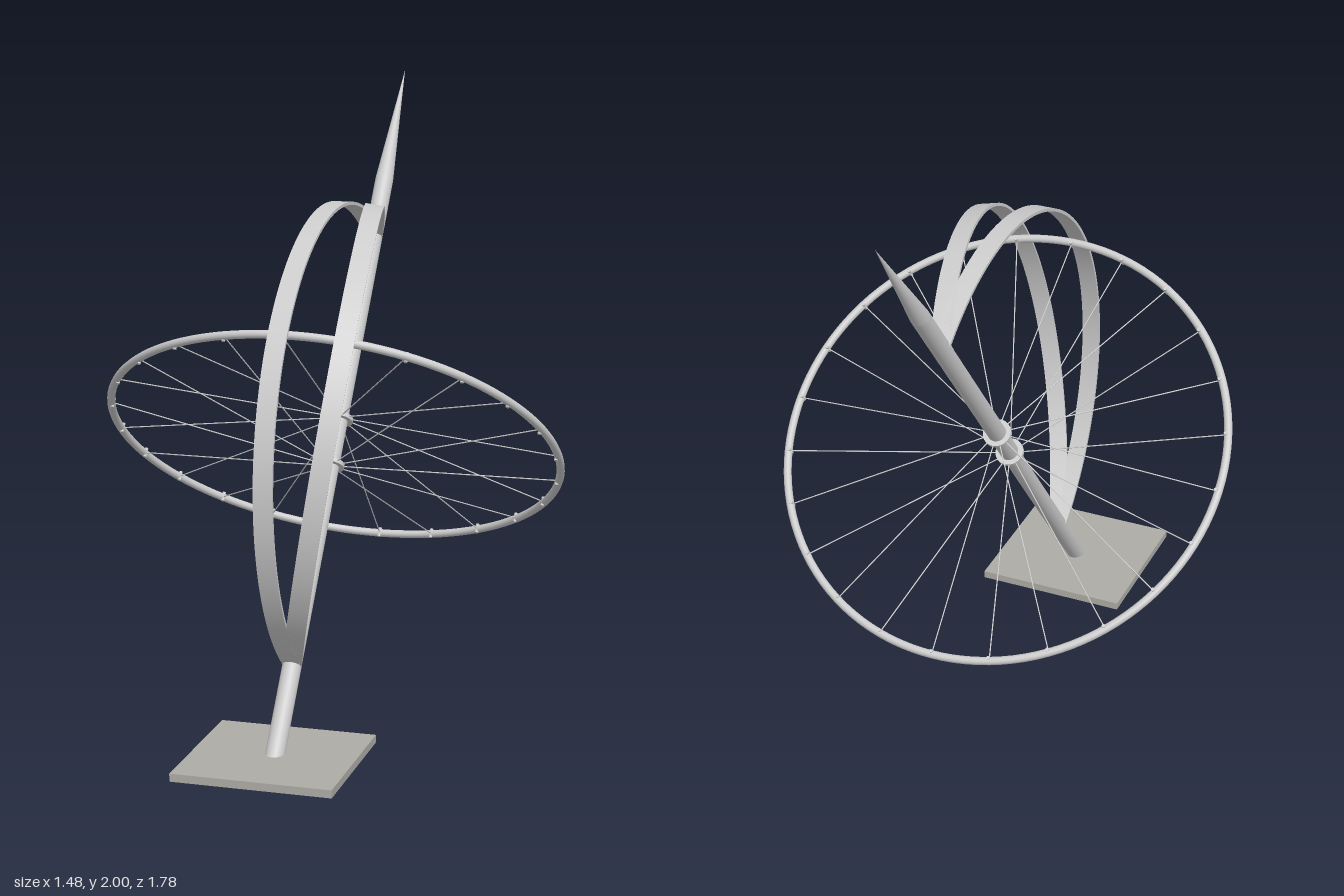
import * as THREE from 'three';
import { toCreasedNormals } from 'three/addons/utils/BufferGeometryUtils.js';

export function createModel() {
  const model = new THREE.Group();
  const grey = new THREE.MeshStandardMaterial({ color: 0xcccccc });
  const stone = new THREE.MeshStandardMaterial({ color: 0xaeaca6 });

  const add = (parent, name, geometry, material = grey) => {
    const mesh = new THREE.Mesh(geometry, material);
    mesh.name = name;
    parent.add(mesh);
    return mesh;
  };

  // Rod between two points
  const rod = (parent, name, a, b, radius, sides) => {
    const dir = b.clone().sub(a);
    const mesh = add(parent, name, new THREE.CylinderGeometry(radius, radius, dir.length(), sides));
    mesh.position.copy(a).add(b).multiplyScalar(0.5);
    mesh.quaternion.setFromUnitVectors(new THREE.Vector3(0, 1, 0), dir.normalize());
  };

  // Level base plate
  add(model, 'basePlate', new THREE.BoxGeometry(0.5, 0.025, 0.495), stone).position.set(0, 0.057, 0.645);

  // Everything else leans back around the wheel centre; local y is the pole axis
  const dial = new THREE.Group();
  dial.name = 'dial';
  dial.position.set(0, 0.891, -0.012);
  dial.rotation.x = -THREE.MathUtils.degToRad(38.4);
  model.add(dial);

  // Pole and its pointed tip
  const bottom = -1.113, shoulder = 0.976, tip = 1.415;
  add(dial, 'pole', new THREE.CylinderGeometry(0.03, 0.03, shoulder - bottom, 32))
    .position.y = (shoulder + bottom) / 2;
  add(dial, 'poleTip', new THREE.ConeGeometry(0.03, tip - shoulder, 32)).position.y = (shoulder + tip) / 2;

  // Two half-circle bands, one turned 15 degrees about the pole
  const half = new THREE.Shape();
  half.absarc(0, 0, 0.765, -Math.PI / 2, Math.PI / 2, false);
  half.absarc(0, 0, 0.755, Math.PI / 2, -Math.PI / 2, true);
  let band = new THREE.ExtrudeGeometry(half, { depth: 0.06, bevelEnabled: false, curveSegments: 72 });
  band.translate(0, 0, -0.03).rotateY(-Math.PI / 2);
  band = toCreasedNormals(band, 0.6);
  add(dial, 'middleBand', band);
  add(dial, 'sideBand', band).rotation.y = Math.PI / 12;

  // Spoked wheel
  const wheel = new THREE.Group();
  wheel.name = 'wheel';
  dial.add(wheel);
  add(wheel, 'rim', new THREE.TorusGeometry(0.726, 0.013, 16, 120).rotateX(Math.PI / 2));

  // Hub flanges above and below the rim plane
  const hubY = 0.081;
  for (const side of [-1, 1]) {
    add(wheel, 'hubFlange', new THREE.CylinderGeometry(0.046, 0.046, 0.014, 32)).position.y = side * hubY;
  }

  // Spokes alternate between the flanges, each held by a short pin at the rim
  const count = 24;
  for (let i = 0; i < count; i++) {
    const t = (i / count) * Math.PI * 2;
    const out = new THREE.Vector3(Math.cos(t), 0, Math.sin(t));
    const inner = out.clone().multiplyScalar(0.04).setY(i % 2 ? -hubY : hubY);
    const outer = out.clone().multiplyScalar(0.72);
    rod(wheel, 'spoke', inner, outer, 0.002, 8);
    rod(wheel, 'spokePin', outer.clone().setY(-0.016), outer.clone().setY(0.016), 0.006, 10);
  }

  return model;
}
